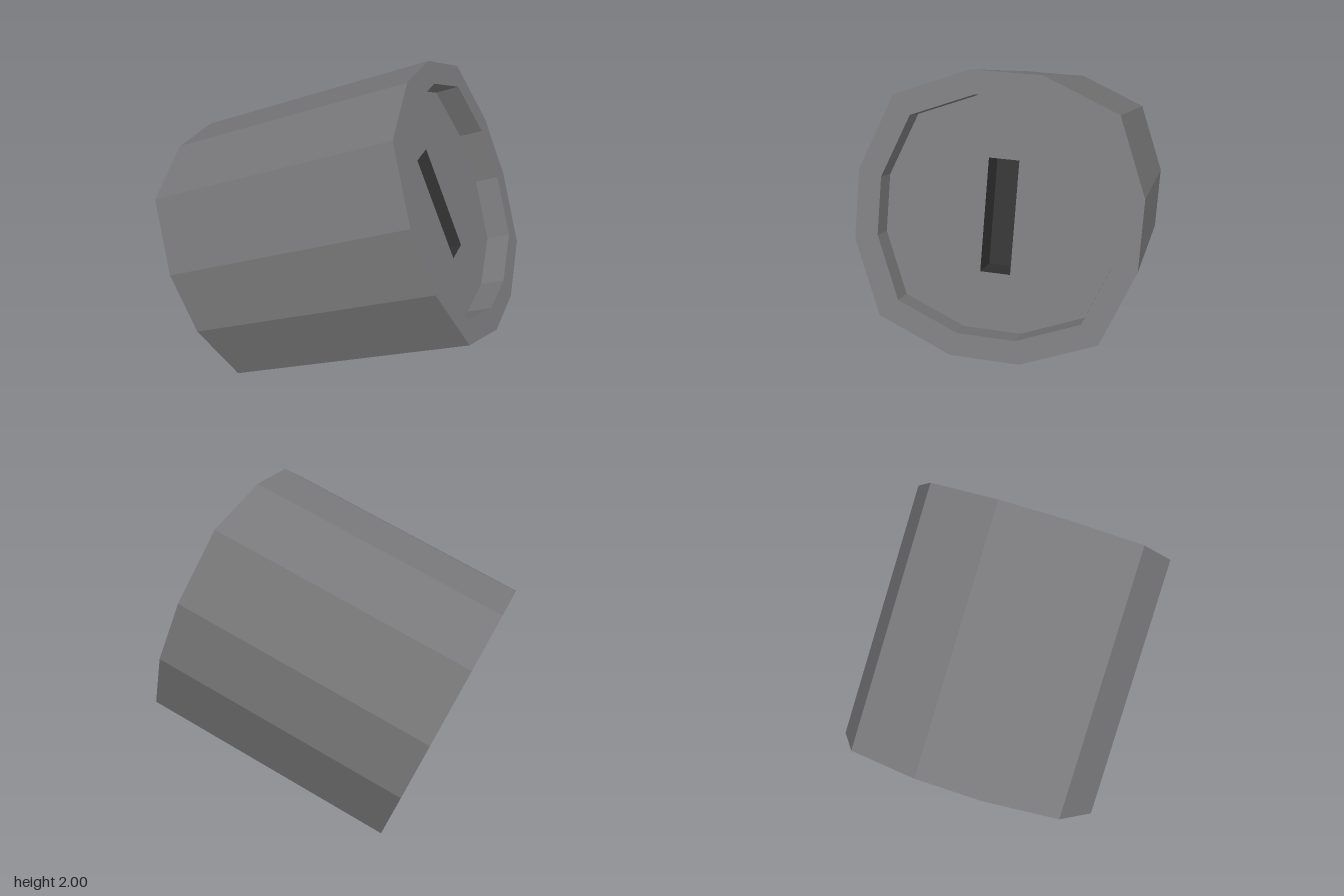
import * as THREE from 'three';

// Twelve-sided outline with corners at mixed steps, counter-clockwise
function outline(scale) {
  const quarter = [[0.765, 0.19], [0.6, 0.6], [0.19, 0.765]];
  const pts = [];
  for (let q = 0; q < 4; q++) {
    for (const [x, y] of quarter) {
      pts.push(new THREE.Vector2(x, y).multiplyScalar(scale).rotateAround(new THREE.Vector2(), q * Math.PI / 2));
    }
  }
  return pts;
}

// Flat-faced wall following a ring from z0 to z1; inward turns it to face the axis
function wall(ring, z0, z1, inward = false) {
  const pts = inward ? [...ring].reverse() : ring;
  const pos = [];
  pts.forEach((a, i) => {
    const b = pts[(i + 1) % pts.length];
    pos.push(a.x, a.y, z0, b.x, b.y, z0, b.x, b.y, z1, a.x, a.y, z0, b.x, b.y, z1, a.x, a.y, z1);
  });
  const geo = new THREE.BufferGeometry();
  geo.setAttribute('position', new THREE.Float32BufferAttribute(pos, 3));
  geo.computeVertexNormals();
  return geo;
}

// Flat face at depth z, with an optional hole
function face(ring, z, hole) {
  const shape = new THREE.Shape(ring);
  if (hole) shape.holes.push(new THREE.Path(hole));
  return new THREE.ShapeGeometry(shape).translate(0, 0, z);
}

export function createModel() {
  const group = new THREE.Group();
  const bodyMat = new THREE.MeshStandardMaterial({ color: 0x78787a });
  bodyMat.name = 'grey';
  const slotMat = new THREE.MeshStandardMaterial({ color: 0x333333 });
  slotMat.name = 'dark grey';

  // Tilted barrel; its axis is the local z, turned to the model's left and upward
  const barrel = new THREE.Group();
  barrel.name = 'barrel';
  barrel.rotation.set(0, Math.PI / 2, Math.PI / 8, 'ZYX');
  barrel.position.y = 1;
  group.add(barrel);

  const add = (name, geo, mat = bodyMat) => {
    const mesh = new THREE.Mesh(geo, mat);
    mesh.name = name;
    barrel.add(mesh);
  };

  const half = 0.765, floorZ = half - 0.144, slotZ = floorZ - 0.21;
  const outer = outline(1), inner = outline(0.835);
  const slot = [[-0.092, -0.32], [0.075, -0.32], [0.075, 0.305], [-0.092, 0.305]]
    .map(([x, y]) => new THREE.Vector2(x, y));

  // Outside
  add('outerWall', wall(outer, -half, half));
  add('backFace', face(outer, 0).rotateY(Math.PI).translate(0, 0, -half));
  add('rim', face(outer, half, inner));

  // Recessed end
  add('recessWall', wall(inner, floorZ, half, true));
  add('recessFloor', face(inner, floorZ, slot));

  // Dark slot sunk into the recess
  add('slotWall', wall(slot, slotZ, floorZ, true), slotMat);
  add('slotFloor', face(slot, slotZ), slotMat);

  return group;
}
